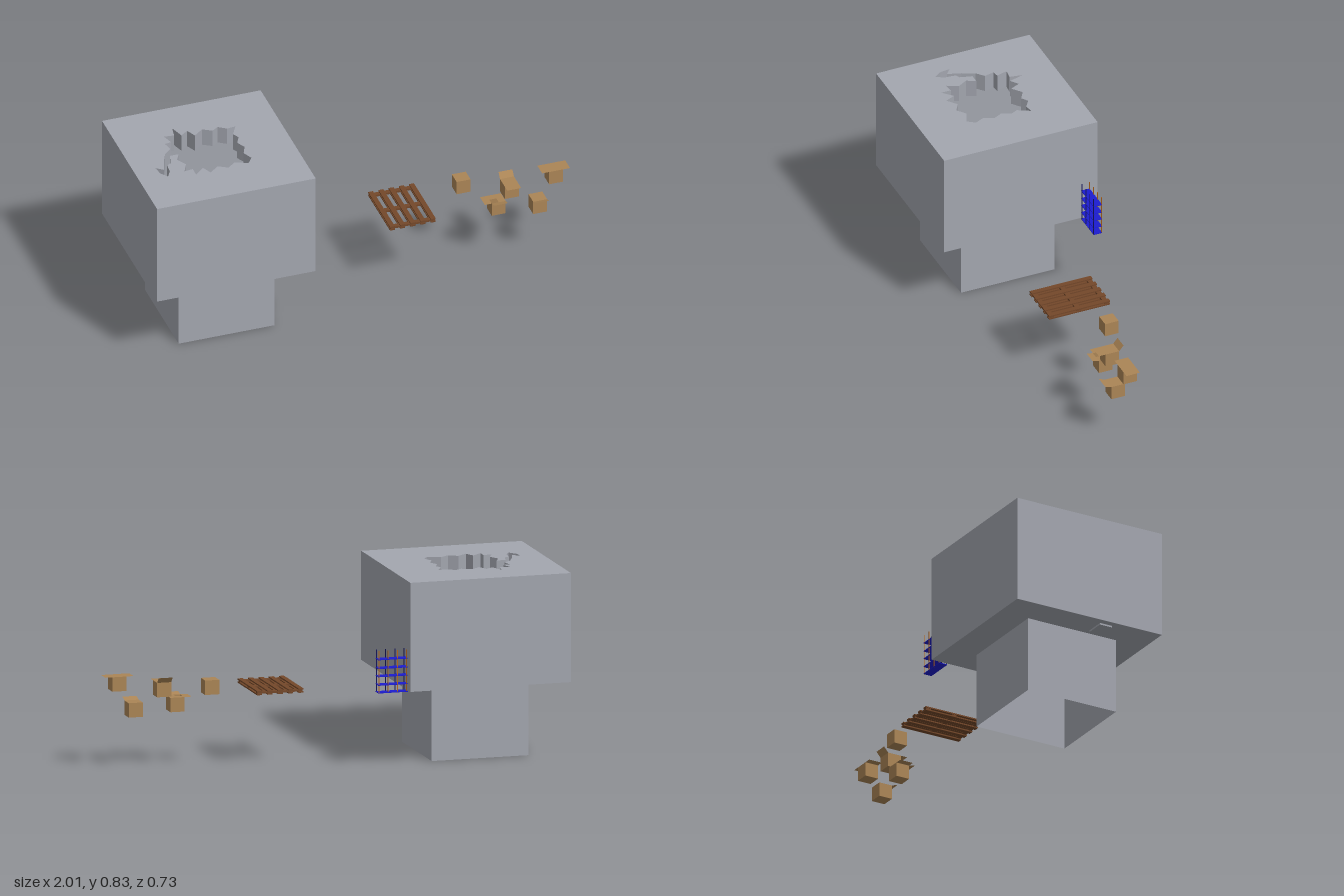
import * as THREE from 'three';

const mat = (name, color) => {
  const m = new THREE.MeshStandardMaterial({ color, side: THREE.DoubleSide });
  m.name = name;
  return m;
};

export function createModel() {
  const concrete = mat('concrete grey', 0xa3a6af);
  const wood = mat('pallet wood', 0x74482a);
  const card = mat('cardboard', 0xab8556);
  const blue = mat('shelf blue', 0x1c1cd0);
  const navy = mat('post navy', 0x14145a);
  const orange = mat('post orange', 0xb8651c);
  const model = new THREE.Group();
  model.name = 'room with props';

  const add = (parent, name, geo, material, x = 0, y = 0, z = 0) => {
    const m = new THREE.Mesh(geo, material);
    m.name = name;
    m.position.set(x, y, z);
    parent.add(m);
    return m;
  };
  const group = (name, x = 0, y = 0, z = 0) => {
    const g = new THREE.Group();
    g.name = name;
    g.position.set(x, y, z);
    model.add(g);
    return g;
  };
  const box = (w, h, d) => new THREE.BoxGeometry(w, h, d);

  // Box without its top, and without its bottom unless asked for
  const openBox = (w, h, d, bottom) => {
    const g = box(w, h, d);
    const i = Array.from(g.index.array);
    g.setIndex([...i.slice(0, 12), ...i.slice(bottom ? 18 : 24)]);
    g.clearGroups();
    return g;
  };
  // Flat shape with x and z coordinates
  const rect = (x0, x1, z) => [[x0, -z], [x1, -z], [x1, z], [x0, z]];
  const outline = (pts, Type) => new Type(pts.map(([x, z]) => new THREE.Vector2(x, -z)));

  // Room: wide upper hall over a narrow shaft, both hollow
  const room = group('room');
  add(room, 'upper walls', openBox(0.73, 0.484, 0.73, false), concrete, -0.634, 0.585, 0);
  add(room, 'lower walls', openBox(0.44, 0.343, 0.444, false), concrete, -0.63, 0.1715, 0);

  const floor = outline(rect(-0.999, -0.269, 0.365), THREE.Shape);
  floor.holes.push(outline(rect(-0.85, -0.41, 0.222), THREE.Path));
  add(room, 'hall floor', new THREE.ShapeGeometry(floor).rotateX(-Math.PI / 2), concrete, 0, 0.343, 0);
  add(room, 'floor ledge', box(0.09, 0.008, 0.06), concrete, -0.925, 0.338, 0.1);

  // Roof slab with a jagged hole and a crack running off it
  const jagged = [
    [-0.73, -0.21], [-0.71, -0.145], [-0.675, -0.17], [-0.655, -0.125], [-0.61, -0.16],
    [-0.57, -0.135], [-0.54, -0.155], [-0.505, -0.13], [-0.465, -0.135], [-0.495, -0.08],
    [-0.48, -0.05], [-0.5, -0.01], [-0.48, 0.03], [-0.5, 0.075], [-0.48, 0.12],
    [-0.505, 0.155], [-0.56, 0.13], [-0.6, 0.16], [-0.64, 0.135], [-0.685, 0.17],
    [-0.705, 0.125], [-0.75, 0.165], [-0.75, 0.12], [-0.79, 0.125], [-0.765, 0.075],
    [-0.79, 0.03], [-0.77, -0.01], [-0.81, -0.01], [-0.825, 0.045], [-0.845, 0.055],
    [-0.85, 0.105], [-0.87, 0.14], [-0.895, 0.105], [-0.9, 0.06], [-0.87, 0.085],
    [-0.85, 0.025], [-0.825, -0.03], [-0.79, -0.06], [-0.8, -0.105], [-0.77, -0.11],
    [-0.785, -0.16], [-0.74, -0.155],
  ];
  const roof = outline(rect(-0.999, -0.269, 0.365), THREE.Shape);
  roof.holes.push(outline(jagged, THREE.Path));
  const slab = new THREE.ExtrudeGeometry(roof, { depth: 0.08, bevelEnabled: false });
  add(room, 'broken roof', slab.rotateX(-Math.PI / 2), concrete, 0, 0.747, 0);

  // Shelf rack beside the hall
  const rack = group('shelf rack');
  for (const y of [0.338, 0.372, 0.41, 0.446, 0.485])
    add(rack, 'shelf', box(0.134, 0.003, 0.04), blue, -0.202, y, -0.307);
  for (const x of [-0.264, -0.222, -0.18, -0.138]) {
    add(rack, 'front post', box(0.003, 0.188, 0.003), navy, x, 0.43, -0.288);
    add(rack, 'back post', box(0.003, 0.188, 0.003), orange, x, 0.43, -0.325);
  }

  // Pallet: two layers of slats with cross beams between
  const pallet = group('pallet', 0.255, 0.332, 0);
  for (let i = -2; i <= 2; i++)
    for (const y of [-0.0065, 0.0065])
      add(pallet, 'slat', box(0.022, 0.006, 0.29), wood, i * 0.047, y, -0.001);
  for (const z of [-0.13, 0, 0.13])
    add(pallet, 'cross beam', box(0.205, 0.009, 0.021), wood, 0, 0, z);

  // Cartons: flap angles are 0 lying shut, 90 upright, 180 level outwards
  const S = 0.064;
  const carton = (x, y, z, angles) => {
    const c = group('carton', x, y, z);
    if (!angles) {
      add(c, 'closed carton', box(S, S, S), card);
      return;
    }
    add(c, 'carton body', openBox(S, S, S, true), card);
    angles.forEach((a, i) => {
      const side = new THREE.Group();
      side.name = 'flap hinge';
      side.rotation.y = i * Math.PI / 2;
      c.add(side);
      const flap = new THREE.PlaneGeometry(S / 2, S).rotateX(-Math.PI / 2).translate(-S / 4, 0, 0);
      const m = add(side, 'flap', flap, card, S / 2, S / 2, 0);
      m.rotation.z = -THREE.MathUtils.degToRad(a);
    });
  };
  // Flap order: +x, -z, -x, +z
  carton(0.547, 0.358, -0.057, null);
  carton(0.74, 0.343, 0.026, [0, 130, 0, 180]);
  carton(0.678, 0.272, 0.031, [0, 0, 180, 165]);
  carton(0.942, 0.379, 0.031, [180, 0, 180, 0]);
  carton(0.861, 0.255, 0.053, [0, 0, 0, 160]);

  return model;
}
